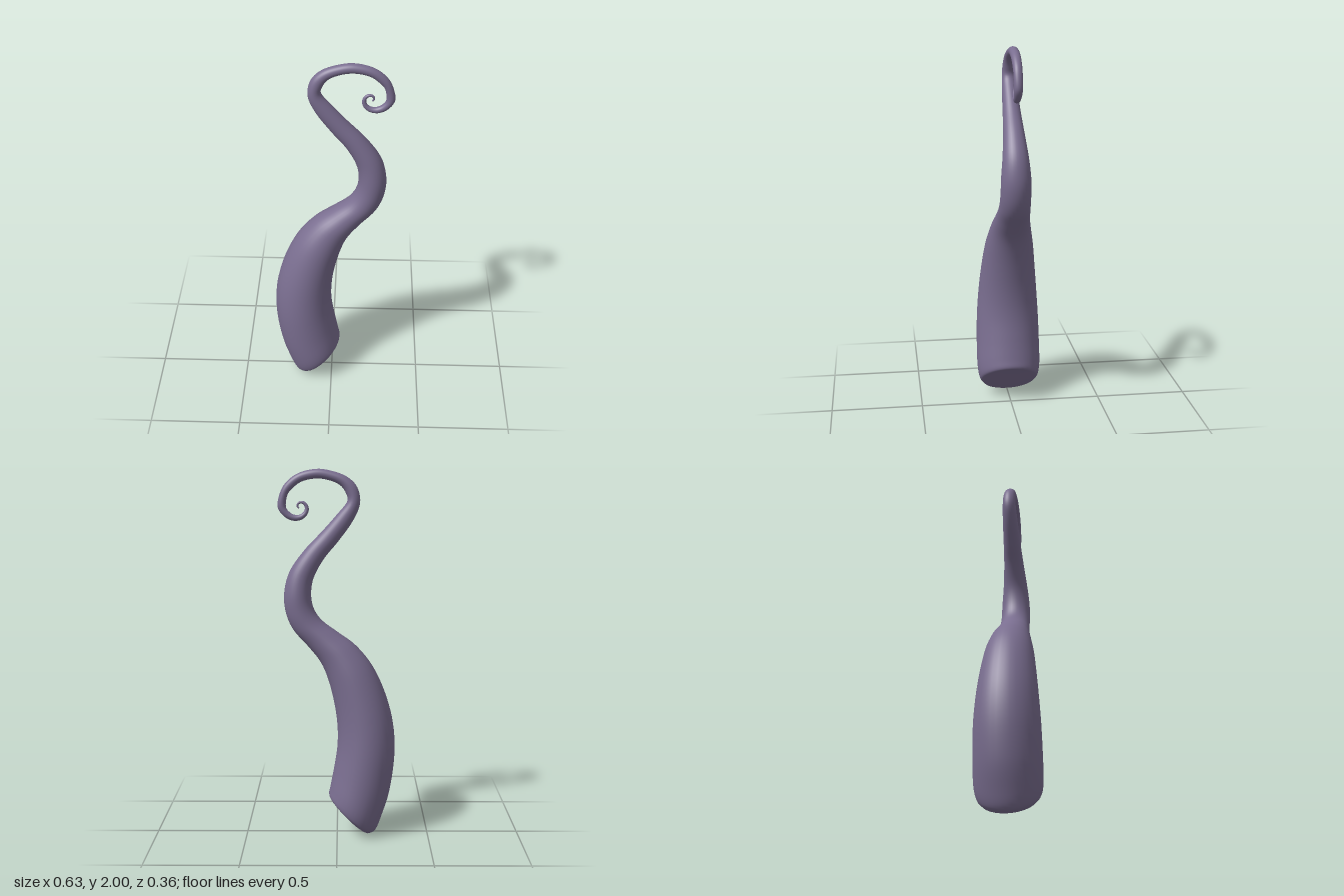
import * as THREE from 'three';

// Cross-sections from base to curl: outer edge x, y, inner edge x, y, half depth
const SECTIONS = [
  [-0.185, 0.004, 0.022, 0.2, 0.145],
  [-0.215, 0.025, 0.045, 0.222, 0.165],
  [-0.245, 0.1, 0.037, 0.27, 0.177],
  [-0.29, 0.25, 0.018, 0.37, 0.178],
  [-0.315, 0.45, 0, 0.49, 0.174],
  [-0.305, 0.63, -0.002, 0.6, 0.164],
  [-0.26, 0.8, 0.012, 0.72, 0.15],
  [-0.19, 0.95, 0.045, 0.86, 0.132],
  [-0.1, 1.06, 0.09, 0.97, 0.11],
  [0, 1.135, 0.16, 1.06, 0.092],
  [0.08, 1.195, 0.235, 1.145, 0.083],
  [0.125, 1.26, 0.275, 1.235, 0.08],
  [0.14, 1.34, 0.285, 1.34, 0.078],
  [0.125, 1.43, 0.255, 1.46, 0.068],
  [0.07, 1.53, 0.175, 1.575, 0.056],
  [0, 1.615, 0.08, 1.675, 0.048],
  [-0.08, 1.725, 0, 1.765, 0.042],
  [-0.12, 1.82, -0.052, 1.83, 0.037],
  [-0.105, 1.905, -0.045, 1.875, 0.034],
  [-0.05, 1.96, -0.015, 1.915, 0.03],
  [0.03, 1.99, 0.04, 1.94, 0.027],
  [0.11, 2, 0.11, 1.95, 0.026],
  [0.2, 1.98, 0.185, 1.935, 0.025],
  [0.265, 1.935, 0.232, 1.902, 0.024],
  [0.3, 1.88, 0.262, 1.865, 0.023],
];

// Clockwise shrinking spiral that finishes the tip
function curlSections() {
  const list = [];
  for (let t = 0; t <= Math.PI * 2.4; t += Math.PI / 6) {
    const reach = 0.096 * Math.exp(-0.325 * t);
    const r = 0.022 * Math.exp(-0.24 * t);
    const at = (d) => [0.197 + d * Math.cos(t), 1.805 - d * Math.sin(t)];
    list.push([...at(reach + r), ...at(reach - r), r]);
  }
  return list;
}

function sweep(sections, steps, sides) {
  const outer = new THREE.CatmullRomCurve3(
    sections.map((s) => new THREE.Vector3(s[0], s[1], s[4])), false, 'catmullrom', 0.5);
  const inner = new THREE.CatmullRomCurve3(
    sections.map((s) => new THREE.Vector3(s[2], s[3], 0)), false, 'catmullrom', 0.5);
  const positions = [];
  const index = [];

  const addRing = (u, scale) => {
    const a = outer.getPoint(u);
    const b = inner.getPoint(u);
    const cx = (a.x + b.x) / 2, cy = (a.y + b.y) / 2;
    for (let j = 0; j < sides; j++) {
      const angle = (j / sides) * Math.PI * 2;
      const c = Math.cos(angle) * scale;
      positions.push(cx + (a.x - cx) * c, cy + (a.y - cy) * c, a.z * Math.sin(angle) * scale);
    }
  };

  // Closed base, body, closed tip
  addRing(0, 0.001);
  addRing(0, 0.6);
  for (let i = 0; i <= steps; i++) addRing(i / steps, 1);
  addRing(1, 0.001);

  const rings = positions.length / 3 / sides;
  for (let i = 0; i < rings - 1; i++) {
    for (let j = 0; j < sides; j++) {
      const k = (j + 1) % sides;
      const a = i * sides + j, b = i * sides + k;
      index.push(a, b, a + sides, b, b + sides, a + sides);
    }
  }
  const geometry = new THREE.BufferGeometry();
  geometry.setAttribute('position', new THREE.Float32BufferAttribute(positions, 3));
  geometry.setIndex(index);
  geometry.computeVertexNormals();
  return geometry;
}

export function createModel() {
  const group = new THREE.Group();
  group.name = 'curledTentacle';
  const material = new THREE.MeshStandardMaterial({ color: 0x7a6e90 });
  material.name = 'dusty purple';

  const sections = [...SECTIONS, ...curlSections()];
  const tentacle = new THREE.Mesh(sweep(sections, (sections.length - 1) * 5, 32), material);
  tentacle.name = 'tentacle';
  group.add(tentacle);
  return group;
}
